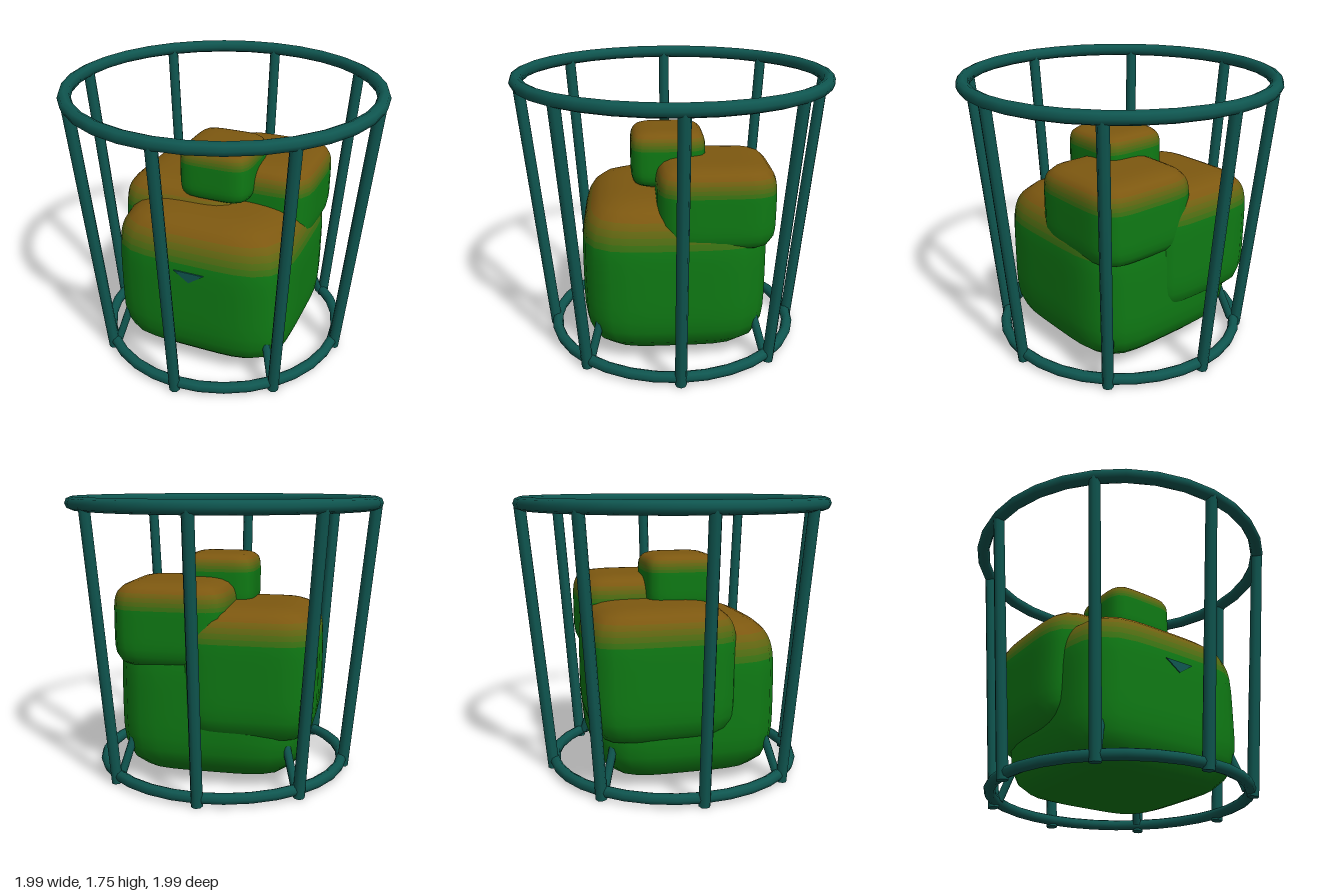
import * as THREE from 'three';

const frameMat = new THREE.MeshStandardMaterial({ color: 0x0f5650 });
const GREEN = new THREE.Color(0x0f7a14), BROWN = new THREE.Color(0x7d5810);
const SHADES = 6;
const blobMats = Array.from({ length: SHADES }, (_, i) =>
  new THREE.MeshStandardMaterial({ color: GREEN.clone().lerp(BROWN, i / (SHADES - 1)) }));

// Straight round bar between two points
function bar(name, a, b, r) {
  const dir = b.clone().sub(a);
  const mesh = new THREE.Mesh(new THREE.CylinderGeometry(r, r, dir.length(), 8), frameMat);
  mesh.position.copy(a).add(b).multiplyScalar(0.5);
  mesh.quaternion.setFromUnitVectors(new THREE.Vector3(0, 1, 0), dir.normalize());
  mesh.name = name;
  return mesh;
}

// Horizontal hoop
function hoop(name, radius, tube, y) {
  const mesh = new THREE.Mesh(new THREE.TorusGeometry(radius, tube, 8, 32), frameMat);
  mesh.rotation.x = Math.PI / 2;
  mesh.position.y = y;
  mesh.name = name;
  return mesh;
}

// Slice of a soft rounded cube, between two polar angles
function blobBand(center, half, p, t0, t1, rows) {
  const geo = new THREE.SphereGeometry(1, 40, rows, 0, Math.PI * 2, t0, t1 - t0);
  const pos = geo.attributes.position, nor = geo.attributes.normal;
  const v = new THREE.Vector3(), n = new THREE.Vector3();
  const grad = c => Math.sign(c) * Math.abs(c) ** (p - 1);
  for (let i = 0; i < pos.count; i++) {
    v.fromBufferAttribute(pos, i);
    // stretch the round cross-section to a square, then the profile
    const h = Math.hypot(v.x, v.z), y = v.y;
    const flat = (Math.abs(v.x) ** p + Math.abs(v.z) ** p) ** (1 / p) || 1;
    const k = (h ** p + Math.abs(y) ** p) ** (-1 / p);
    v.set(v.x / flat * h * k, y * k, v.z / flat * h * k);
    n.set(grad(v.x), grad(v.y), grad(v.z)).divide(half).normalize();
    v.multiply(half).add(center);
    pos.setXYZ(i, v.x, v.y, v.z);
    nor.setXYZ(i, n.x, n.y, n.z);
  }
  return geo;
}

// Rounded block, green below and fading to brown between heights y0 and y1
function blob(name, min, max, p, y0, y1) {
  const lo = new THREE.Vector3(...min), hi = new THREE.Vector3(...max);
  const center = lo.clone().add(hi).multiplyScalar(0.5);
  const half = hi.sub(lo).multiplyScalar(0.5);
  const angleAt = y => {
    const u = (y - center.y) / half.y;
    return Math.atan2((1 - Math.abs(u) ** p) ** (1 / p), u);
  };
  const cuts = [Math.PI];
  for (let i = 0; i < SHADES - 1; i++) cuts.push(angleAt(y0 + (y1 - y0) * i / (SHADES - 2)));
  cuts.push(0);
  const group = new THREE.Group();
  group.name = name;
  blobMats.forEach((mat, i) => {
    const rows = i === 0 ? 14 : i === SHADES - 1 ? 8 : 2;
    const mesh = new THREE.Mesh(blobBand(center, half, p, cuts[i + 1], cuts[i], rows), mat);
    mesh.name = name + 'Band' + i;
    group.add(mesh);
  });
  return group;
}

export function createModel() {
  const model = new THREE.Group();
  model.name = 'basketWithBlocks';

  // Open basket frame
  model.add(hoop('topHoop', 0.955, 0.041, 1.714), hoop('bottomHoop', 0.79, 0.035, 0.05));
  for (let i = 0; i < 8; i++) {
    const a = i * Math.PI / 4;
    const at = (r, y) => new THREE.Vector3(Math.sin(a) * r, y, Math.cos(a) * r);
    model.add(bar('post', at(0.8, 0.005), at(0.955, 1.71), 0.036));
    // Short struts holding the load on the diagonals
    if (i % 2) model.add(bar('strut', at(0.765, 0.05), at(0.66, 0.32), 0.026));
  }

  // Stack of soft blocks
  model.add(
    blob('mainBlock', [-0.585, 0.03, -0.58], [0.595, 1.035, 0.585], 4.5, 0.78, 0.94),
    blob('rearBlock', [-0.65, 0.3, -0.62], [0.2, 1.12, 0.29], 5, 0.92, 1.05),
    blob('cornerBlock', [-0.12, 0.73, -0.605], [0.59, 1.26, 0.12], 5, 1.1, 1.2),
    blob('topBlock', [-0.22, 1.04, -0.2], [0.25, 1.4, 0.27], 5, 1.29, 1.365));

  // Small downward wedge showing through the front face
  const tri = new THREE.Shape([[-0.09, 0.73], [0.01, 0.66], [0.11, 0.73]].map(q => new THREE.Vector2(...q)));
  const wedge = new THREE.Mesh(new THREE.ExtrudeGeometry(tri, { depth: 0.05, bevelEnabled: false }), frameMat);
  wedge.position.z = 0.54;
  wedge.name = 'frontWedge';
  model.add(wedge);

  return model;
}
